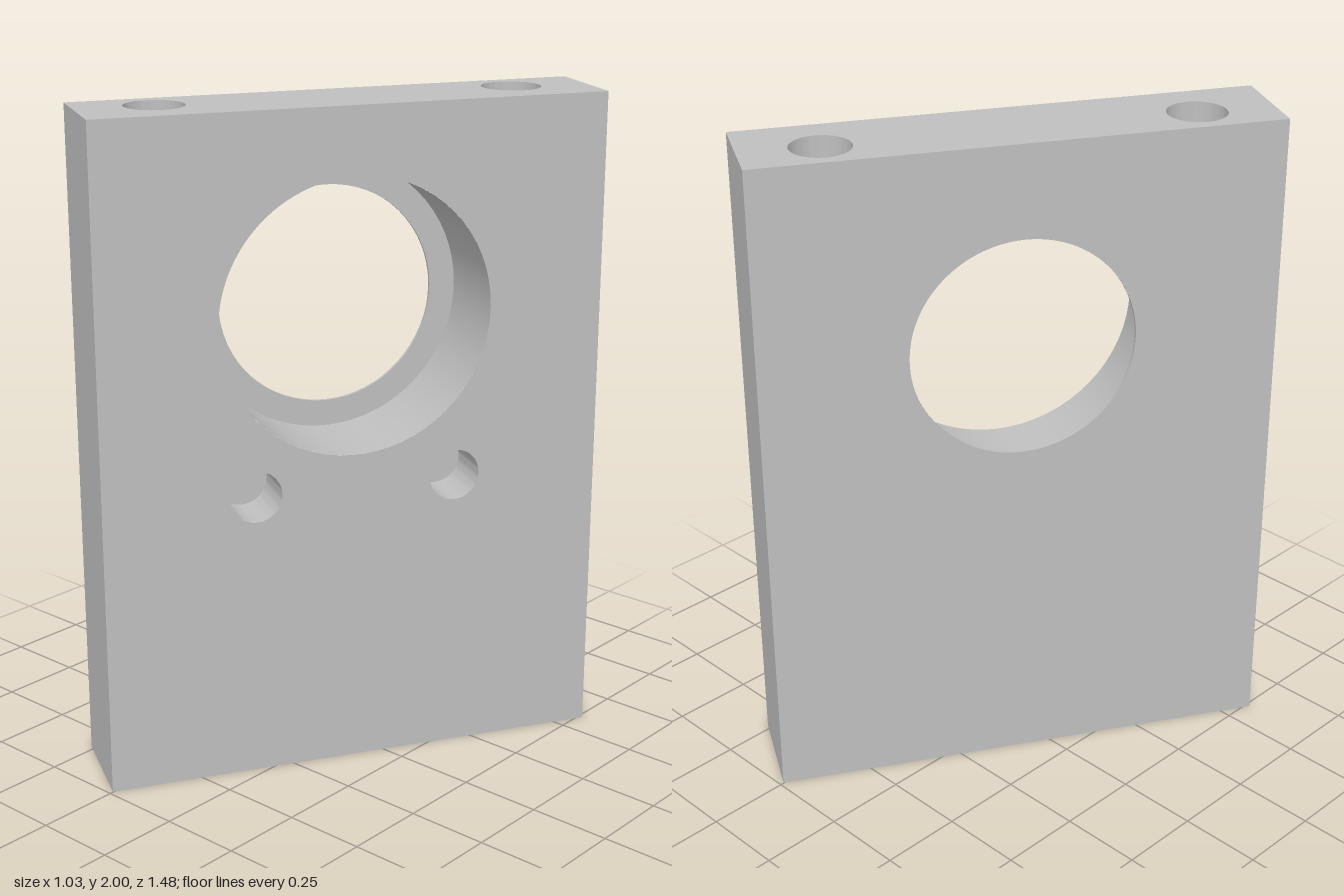
import * as THREE from 'three';
import { toCreasedNormals } from 'three/addons/utils/BufferGeometryUtils.js';

const WIDTH = 1.53, HEIGHT = 2, THICK = 0.302, SEG = 64;
const BORE = { y: 1.388, r: 0.413, lipR: 0.333, depth: THICK - 0.01 };
const PIN = { x: 0.308, y: 0.877, r: 0.078, depth: 0.16 };
const BOLT = { x: 0.536, z: -0.027, r: 0.088 };

// Flat rectangle centred on the origin, pierced by round holes [x, y, r]
function piercedFace(w, h, holes = []) {
  const shape = new THREE.Shape([
    new THREE.Vector2(-w / 2, -h / 2), new THREE.Vector2(w / 2, -h / 2),
    new THREE.Vector2(w / 2, h / 2), new THREE.Vector2(-w / 2, h / 2),
  ]);
  for (const [x, y, r] of holes) {
    shape.holes.push(new THREE.Path().absarc(x, y, r, 0, Math.PI * 2, true));
  }
  return new THREE.ShapeGeometry(shape, SEG);
}

// Hole wall facing inwards: the profile [radius, y] runs down from the mouth
function holeWall(profile) {
  const points = profile.map(([r, y]) => new THREE.Vector2(r, y));
  return toCreasedNormals(new THREE.LatheGeometry(points, SEG), 0.6);
}

export function createModel() {
  const model = new THREE.Group();
  model.name = 'mountingPlate';
  const metal = new THREE.MeshStandardMaterial({ color: 0xbfbfbf });
  metal.name = 'grey metal';

  const plate = new THREE.Group();
  plate.name = 'plate';
  plate.rotation.y = Math.PI / 3;
  model.add(plate);

  const add = (name, geometry, x, y, z) => {
    const mesh = new THREE.Mesh(geometry, metal);
    mesh.name = name;
    mesh.position.set(x, y, z);
    plate.add(mesh);
  };
  const mid = HEIGHT / 2, q = Math.PI / 2;

  // Broad faces
  add('frontFace', piercedFace(WIDTH, HEIGHT, [
    [0, BORE.y - mid, BORE.r],
    [-PIN.x, PIN.y - mid, PIN.r],
    [PIN.x, PIN.y - mid, PIN.r],
  ]), 0, mid, THICK / 2);
  add('backFace', piercedFace(WIDTH, HEIGHT, [[0, BORE.y - mid, BORE.lipR]]).rotateY(Math.PI),
    0, mid, -THICK / 2);

  // Ends, pierced by the vertical bolt holes
  const boltHoles = (y) => [-1, 1].map((s) => [s * BOLT.x, y, BOLT.r]);
  add('topFace', piercedFace(WIDTH, THICK, boltHoles(-BOLT.z)).rotateX(-q), 0, HEIGHT, 0);
  add('bottomFace', piercedFace(WIDTH, THICK, boltHoles(BOLT.z)).rotateX(q), 0, 0, 0);

  // Stepped bore with a thin lip at the back
  add('steppedBore', holeWall([
    [BORE.r, 0], [BORE.r, -BORE.depth], [BORE.lipR, -BORE.depth], [BORE.lipR, -THICK],
  ]).rotateX(q), 0, BORE.y, THICK / 2);

  for (const s of [-1, 1]) {
    const side = s > 0 ? 'left' : 'right';
    add(side + 'SideFace', piercedFace(THICK, HEIGHT).rotateY(s * q), s * WIDTH / 2, mid, 0);
    // Blind pin hole in the front, through bolt hole from top to bottom
    add(side + 'PinHole', holeWall([
      [PIN.r, 0], [PIN.r, -PIN.depth], [0, -PIN.depth],
    ]).rotateX(q), s * PIN.x, PIN.y, THICK / 2);
    add(side + 'BoltHole', holeWall([[BOLT.r, HEIGHT], [BOLT.r, 0]]), s * BOLT.x, 0, BOLT.z);
  }
  return model;
}
